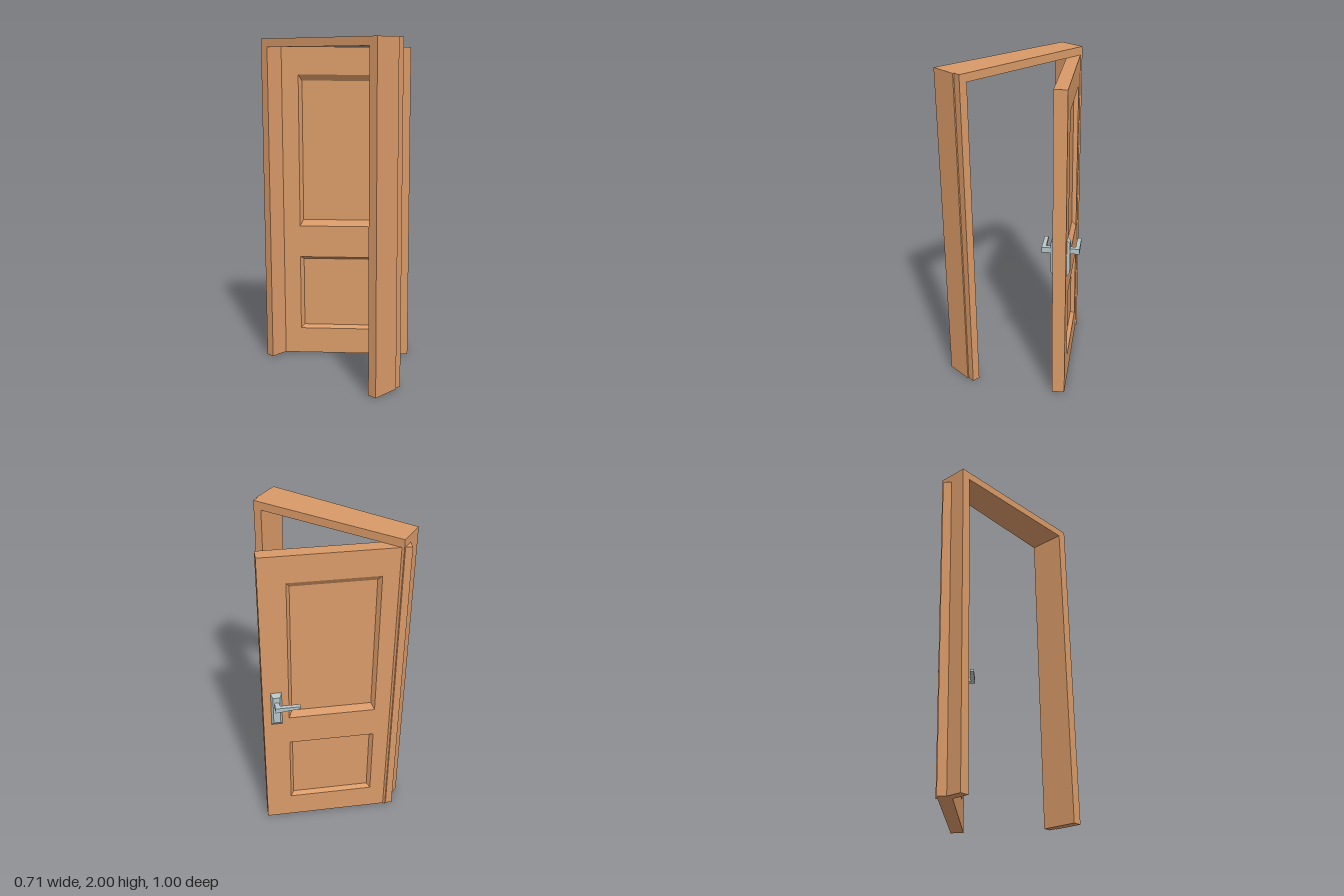
import * as THREE from 'three';

const wood = new THREE.MeshStandardMaterial({ color: 0xd99a68, flatShading: true });
const metal = new THREE.MeshStandardMaterial({ color: 0xb4c5c9, flatShading: true });

const DOOR_W = 0.844, DOOR_H = 1.95, HALF_T = 0.039;

function addMesh(parent, name, geometry, material) {
  const mesh = new THREE.Mesh(geometry, material);
  mesh.name = name;
  parent.add(mesh);
}

const polygon = (pts) => new THREE.Shape(pts.map(([x, y]) => new THREE.Vector2(x, y)));

// Extrude a plan outline given as [x, z] from height y0 to y1
function prism(plan, y0, y1) {
  const geo = new THREE.ExtrudeGeometry(polygon(plan.map(([x, z]) => [x, -z])),
    { depth: y1 - y0, bevelEnabled: false });
  return geo.rotateX(-Math.PI / 2).translate(0, y0, 0);
}

const rect = (cx, cy, w, h) => [
  [cx - w / 2, cy - h / 2], [cx + w / 2, cy - h / 2],
  [cx + w / 2, cy + h / 2], [cx - w / 2, cy + h / 2]];

// Rectangle at z0 sloping to a smaller, capped rectangle at z1
function slopedRect(cx, cy, w, h, insetX, insetY, z0, z1) {
  const outer = rect(cx, cy, w, h).map((p) => [...p, z0]);
  const inner = rect(cx, cy, w - 2 * insetX, h - 2 * insetY).map((p) => [...p, z1]);
  const pos = [];
  const quad = (a, b, c, d) => pos.push(...a, ...b, ...c, ...a, ...c, ...d);
  for (let i = 0; i < 4; i++) {
    const j = (i + 1) % 4;
    quad(outer[i], outer[j], inner[j], inner[i]);
  }
  quad(...inner);
  const geo = new THREE.BufferGeometry();
  geo.setAttribute('position', new THREE.Float32BufferAttribute(pos, 3));
  geo.computeVertexNormals();
  return geo;
}

// Mirror an unindexed geometry to the other face of the door, keeping faces outward
function mirrorZ(source) {
  const geo = source.clone();
  const p = geo.attributes.position;
  const a = new THREE.Vector3(), b = new THREE.Vector3();
  for (let i = 0; i < p.count; i += 3) {
    a.fromBufferAttribute(p, i + 1);
    b.fromBufferAttribute(p, i + 2);
    p.setXYZ(i + 1, b.x, b.y, b.z);
    p.setXYZ(i + 2, a.x, a.y, a.z);
  }
  geo.scale(1, 1, -1);
  geo.computeVertexNormals();
  return geo;
}

function addBothSides(parent, name, geometry, material) {
  addMesh(parent, name + 'Front', geometry, material);
  addMesh(parent, name + 'Back', mirrorZ(geometry), material);
}

// Tapered frame: two jambs and a lintel
function createFrame() {
  const frame = new THREE.Group();
  frame.name = 'frame';
  const frontEdge = [[-0.357, 0.5], [-0.182, 0.5], [-0.182, 0.492], [-0.136, 0.492]];
  const backEdge = [[-0.161, -0.469], [-0.335, -0.464]];
  addMesh(frame, 'frontJamb', prism([...frontEdge, [-0.137, 0.442], [-0.356, 0.442]], 0, 1.95), wood);
  addMesh(frame, 'backJamb', prism([[-0.336, -0.408], [-0.16, -0.408], ...backEdge], 0, 1.95), wood);
  addMesh(frame, 'lintel', prism([...frontEdge, ...backEdge], 1.95, 2), wood);
  return frame;
}

// Open door, built with its hinge edge at x = 0 and then swung
function createDoor() {
  const door = new THREE.Group();
  door.name = 'door';

  // Slab with an opening for each panel
  const slab = polygon(rect(DOOR_W / 2, DOOR_H / 2, DOOR_W, DOOR_H));
  const panels = [
    { name: 'upperPanel', y0: 0.84, y1: 1.785, insetY: 0.037 },
    { name: 'lowerPanel', y0: 0.165, y1: 0.64, insetY: 0.018 }];
  for (const { name, y0, y1, insetY } of panels) {
    const cy = (y0 + y1) / 2, w = 0.53, h = y1 - y0;
    slab.holes.push(polygon(rect(DOOR_W / 2, cy, w, h).reverse()));
    addBothSides(door, name,
      slopedRect(DOOR_W / 2, cy, w, h, 0.02, insetY, HALF_T, HALF_T - 0.027), wood);
  }
  addMesh(door, 'slab', new THREE.ExtrudeGeometry(slab,
    { depth: 2 * HALF_T, bevelEnabled: false }).translate(0, 0, -HALF_T), wood);

  // Bevelled plates
  addBothSides(door, 'handlePlate',
    slopedRect(0.762, 0.922, 0.066, 0.24, 0.012, 0.025, HALF_T, HALF_T + 0.018), metal);

  // L-shaped levers whose underside rises toward the tip
  const z = (s) => HALF_T + s;
  const lever = prism([[0.745, z(0)], [0.775, z(0)], [0.775, z(0.073)],
    [0.625, z(0.073)], [0.625, z(0.048)], [0.745, z(0.048)]], 0.947, 0.98);
  const p = lever.attributes.position;
  for (let i = 0; i < p.count; i++) {
    if (p.getX(i) < 0.7 && p.getY(i) < 0.96) p.setY(i, 0.964);
  }
  lever.computeVertexNormals();
  addBothSides(door, 'handleLever', lever, metal);

  door.position.set(-0.23, 0, -0.475);
  door.rotation.y = -Math.atan2(0.645, 0.545);
  return door;
}

export function createModel() {
  const model = new THREE.Group();
  model.name = 'openDoor';
  model.add(createFrame(), createDoor());
  return model;
}
